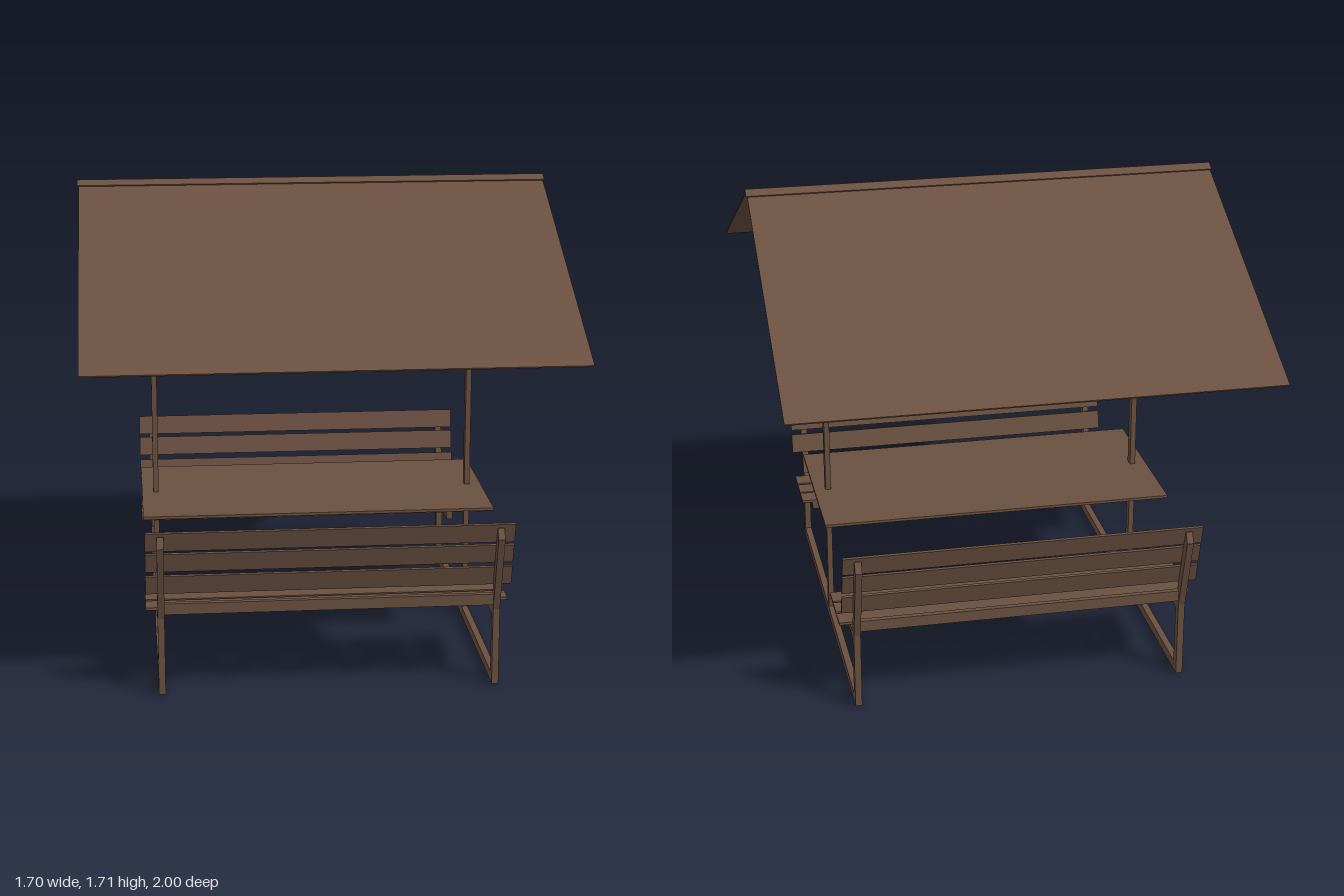
import * as THREE from 'three';

const wood = new THREE.MeshStandardMaterial({ color: 0x6b5141 });
wood.name = 'brownWood';

function box(parent, name, w, h, d, x, y, z) {
  const m = new THREE.Mesh(new THREE.BoxGeometry(w, h, d), wood);
  m.name = name;
  m.position.set(x, y, z);
  parent.add(m);
  return m;
}

// Straight bar between two [z, y] points in a plane of constant x
function bar(parent, name, x, a, b, width, thick) {
  const dz = b[0] - a[0], dy = b[1] - a[1];
  const m = box(parent, name, width, Math.hypot(dz, dy), thick, x, (a[1] + b[1]) / 2, (a[0] + b[0]) / 2);
  m.rotation.x = Math.atan2(dz, dy);
  return m;
}

// Flat [z, y] outline given a thickness along x
function profile(parent, name, pts, x, width) {
  const shape = new THREE.Shape(pts.map(([z, y]) => new THREE.Vector2(-z, y)));
  const geo = new THREE.ExtrudeGeometry(shape, { depth: width, bevelEnabled: false });
  geo.translate(0, 0, -width / 2);
  geo.rotateY(Math.PI / 2);
  const m = new THREE.Mesh(geo, wood);
  m.name = name;
  m.position.x = x;
  parent.add(m);
}

// Bench on the +z side
function makeBench() {
  const g = new THREE.Group();
  g.name = 'bench';
  for (const x of [-0.588, 0.588]) {
    box(g, 'benchLeg', 0.024, 0.28, 0.035, x, 0.14, 0.6975);
    box(g, 'seatArm', 0.024, 0.03, 0.3, x, 0.268, 0.55);
    profile(g, 'backSupport', [[0.68, 0.28], [0.715, 0.28], [0.793, 0.56], [0.772, 0.597], [0.757, 0.56]], x, 0.024);
  }
  // Seat slats
  for (const z of [0.432, 0.513, 0.597]) box(g, 'seatSlat', 1.28, 0.01, 0.072, 0, 0.288, z);
  // Sloping back slats on the inner face of the supports
  for (const y of [0.405, 0.493, 0.575]) {
    const z = 0.674 + (y - 0.28) * 0.275;
    bar(g, 'backSlat', 0, [z - 0.01, y - 0.035], [z + 0.01, y + 0.035], 1.28, 0.01);
  }
  box(g, 'backRail', 1.16, 0.04, 0.02, 0, 0.315, 0.704);
  return g;
}

// Half of the roof on the +z side
function makeRoofHalf() {
  const g = new THREE.Group();
  g.name = 'roofHalf';
  bar(g, 'roofPanel', 0, [0, 1.698], [1, 1.222], 1.69, 0.006);
  bar(g, 'ridgeCap', 0, [0, 1.703], [0.034, 1.687], 1.7, 0.006);
  for (const x of [-0.588, 0.588]) {
    profile(g, 'rafter', [[0, 1.695], [0, 1.668], [0.62, 1.382], [0.95, 1.242]], x, 0.02);
    bar(g, 'brace', x, [0.005, 1.1], [0.305, 1.37], 0.016, 0.024);
  }
  box(g, 'purlin', 1.18, 0.02, 0.02, 0, 1.388, 0.59);
  return g;
}

export function createModel() {
  const model = new THREE.Group();
  model.name = 'picnicShelter';

  // Mirrored benches and roof halves
  for (const make of [makeBench, makeRoofHalf]) {
    const front = make(), back = make();
    back.rotation.y = Math.PI;
    model.add(front, back);
  }

  // End frames
  for (const x of [-0.588, 0.588]) {
    const f = new THREE.Group();
    f.name = 'endFrame';
    box(f, 'groundBar', 0.024, 0.035, 1.43, x, 0.0175, 0);
    box(f, 'post', 0.02, 1.68, 0.035, x, 0.85, 0);
    box(f, 'tieBeam', 0.024, 0.03, 1.22, x, 1.381, 0);
    profile(f, 'tableBearer', [[-0.31, 0.516], [-0.27, 0.497], [0.27, 0.497], [0.31, 0.516]], x, 0.024);
    model.add(f);
  }

  box(model, 'tableTop', 1.28, 0.01, 0.64, 0, 0.521, 0);
  box(model, 'ridgeBeam', 1.18, 0.025, 0.02, 0, 1.675, 0);
  return model;
}
